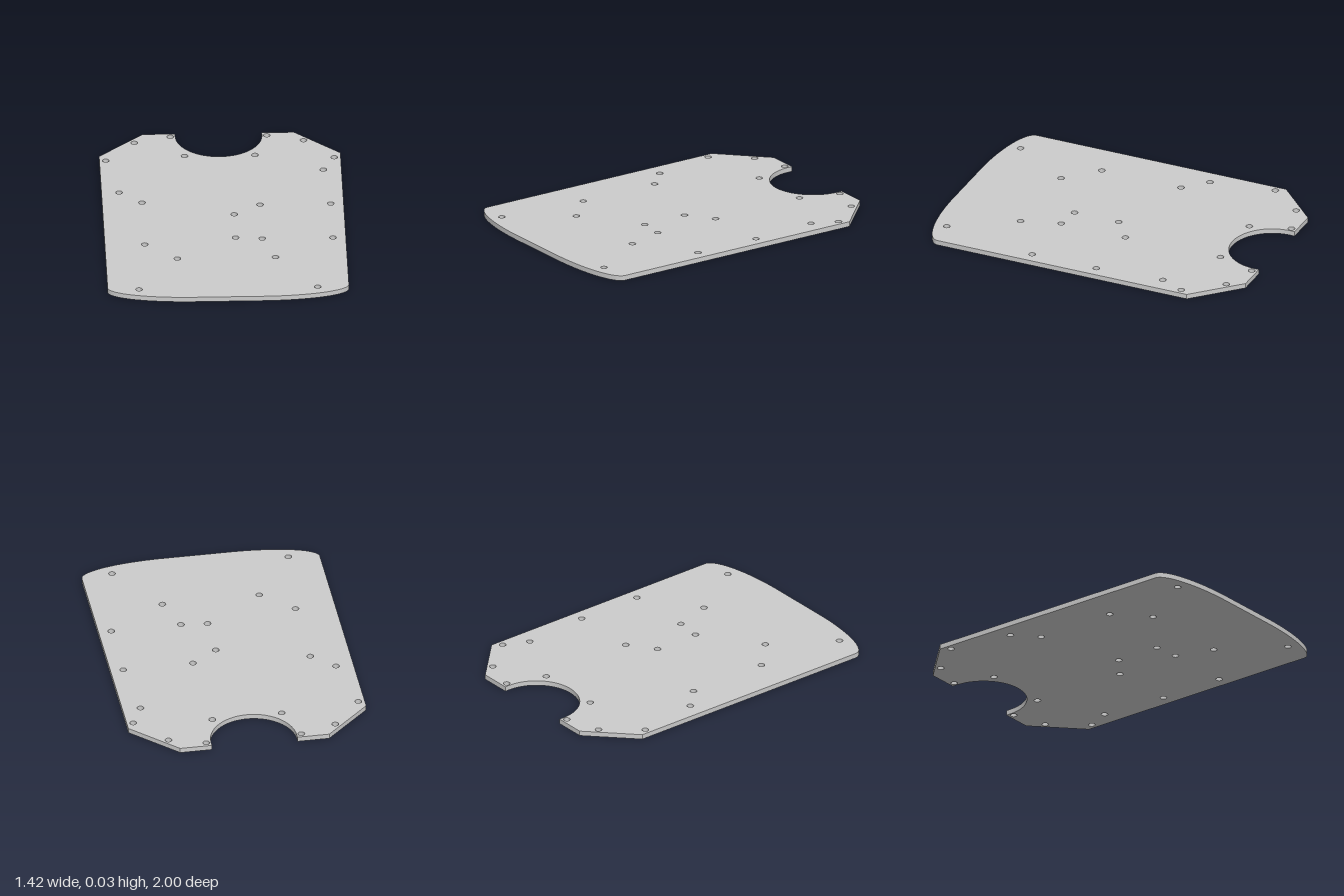
import * as THREE from 'three';
import { toCreasedNormals } from 'three/addons/utils/BufferGeometryUtils.js';

const THICKNESS = 0.03;
const HOLE_RADIUS = 0.02;

// hole centres as [x, z]
const mirroredHoles = [
  [0.284, -0.967], [0.498, -0.9], [0.672, -0.687],
  [0.207, -0.73], [0.289, 0.523], [0.526, 0.892],
];
const singleHoles = [
  [0.603, -0.538], [-0.606, -0.295], [-0.475, -0.167], [-0.475, 0.344],
  [0.218, -0.122], [0.634, -0.122], [0.218, 0.293], [0.634, 0.293],
  [0.062, -0.008], [0.062, 0.277],
];

// outline drawn in (x, z)
function plateOutline() {
  const s = new THREE.Shape();
  // round notch in the back edge
  s.moveTo(-0.255, -1);
  s.lineTo(-0.255, -0.97);
  s.absarc(0, -0.97, 0.255, Math.PI, 0, true);
  s.lineTo(0.255, -1);
  // chamfered back corner and straight side
  s.lineTo(0.445, -1);
  s.lineTo(0.71, -0.74);
  s.lineTo(0.71, 0.87);
  // softly bowed front edge
  s.absellipse(0.2, 0.87, 0.51, 0.13, 0, Math.PI / 2, false);
  s.lineTo(-0.2, 1);
  s.absellipse(-0.2, 0.87, 0.51, 0.13, Math.PI / 2, Math.PI, false);
  // opposite side and chamfer
  s.lineTo(-0.71, -0.74);
  s.lineTo(-0.445, -1);
  s.closePath();
  return s;
}

export function createModel() {
  const group = new THREE.Group();
  group.name = 'mountingPlate';

  const shape = plateOutline();
  const holes = [...singleHoles];
  for (const [x, z] of mirroredHoles) holes.push([x, z], [-x, z]);
  for (const [x, z] of holes) {
    const hole = new THREE.Path();
    hole.absarc(x, z, HOLE_RADIUS, 0, Math.PI * 2, true);
    shape.holes.push(hole);
  }

  // extrude, then lay flat so the outline's second axis becomes z
  const extruded = new THREE.ExtrudeGeometry(shape, {
    depth: THICKNESS, bevelEnabled: false, curveSegments: 32,
  });
  extruded.rotateX(Math.PI / 2).translate(0, THICKNESS, 0);

  const plate = new THREE.Mesh(
    toCreasedNormals(extruded, Math.PI / 7),
    new THREE.MeshStandardMaterial({ color: 0xcccccc }),
  );
  plate.name = 'plate';
  group.add(plate);
  return group;
}
